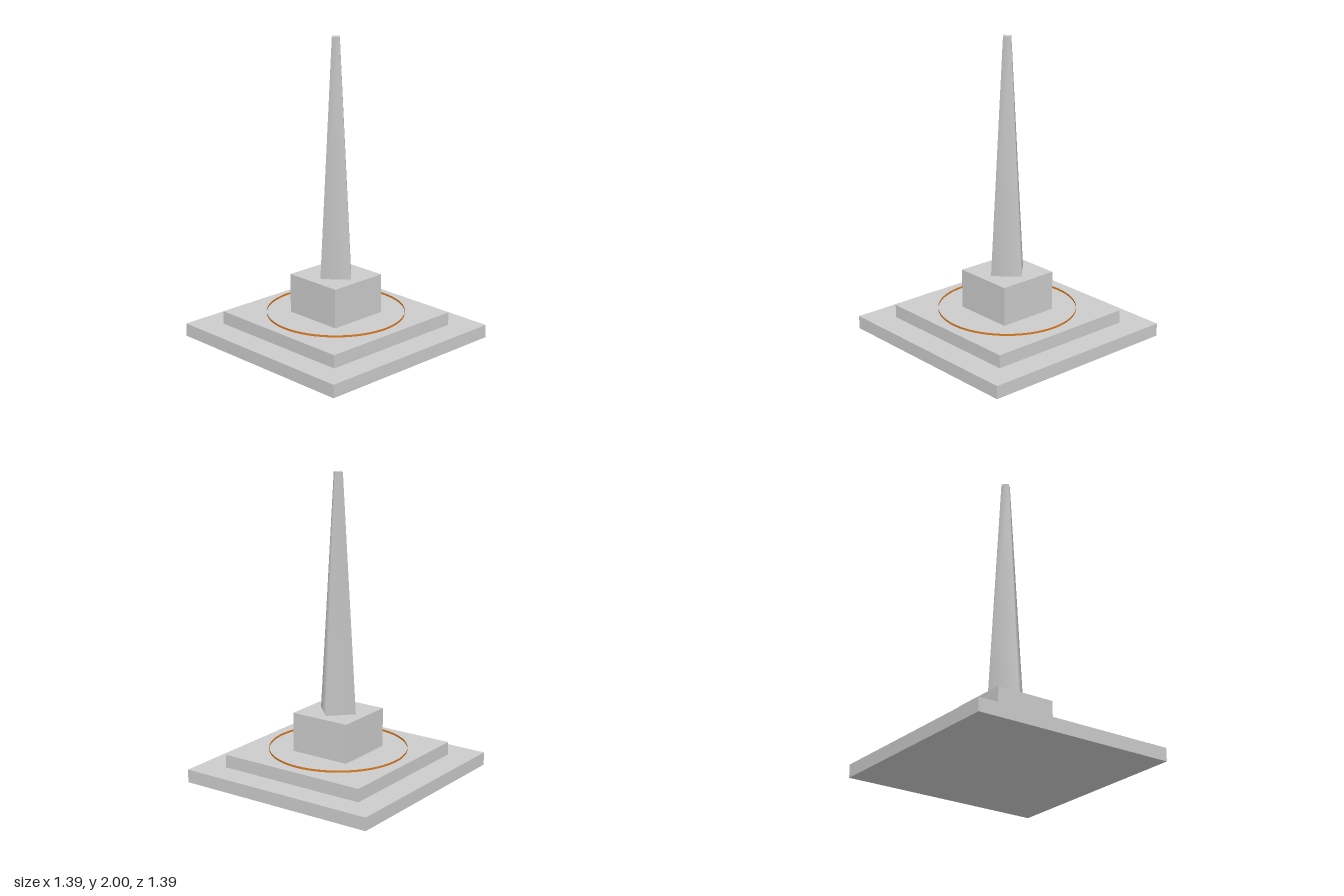
import * as THREE from 'three';

export function createModel() {
  const model = new THREE.Group();
  model.name = 'obelisk';

  const stone = new THREE.MeshStandardMaterial({ color: 0xcccccc });
  stone.name = 'pale stone';
  const copper = new THREE.MeshStandardMaterial({ color: 0xd97a20, side: THREE.DoubleSide });
  copper.name = 'orange copper';

  const add = (name, geometry, material, bottom, height) => {
    const mesh = new THREE.Mesh(geometry, material);
    mesh.name = name;
    mesh.position.y = bottom + height / 2;
    model.add(mesh);
  };

  // Square plinth, stacked from the ground up: name, width, bottom, height
  const blocks = [
    ['lowerStep', 1.391, 0, 0.087],
    ['upperStep', 1.043, 0.087, 0.087],
    ['pedestal', 0.417, 0.174, 0.261],
  ];
  for (const [name, width, bottom, height] of blocks) {
    add(name, new THREE.BoxGeometry(width, height, width), stone, bottom, height);
  }

  // Thin upright band around the pedestal
  add('ringBand', new THREE.CylinderGeometry(0.452, 0.452, 0.014, 64, 1, true), copper, 0.175, 0.014);

  // Tapering four-sided shaft with smooth normals, corners on the axes
  add('shaft', new THREE.CylinderGeometry(0.035, 0.139, 1.565, 4), stone, 0.435, 1.565);

  return model;
}
